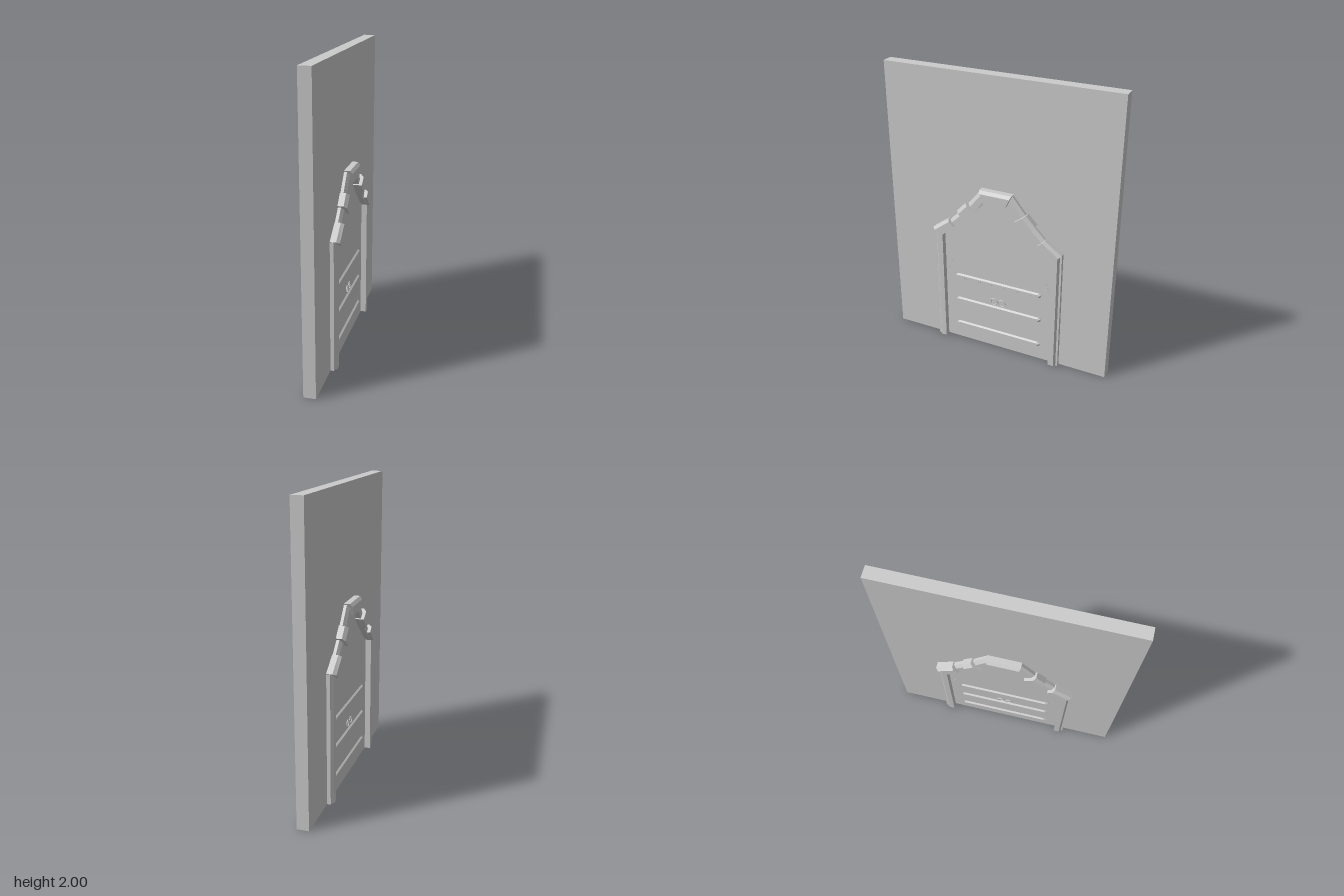
import * as THREE from 'three';

const material = new THREE.MeshStandardMaterial({ color: 0xcccccc, flatShading: true });

export function createModel() {
  const root = new THREE.Group();
  const add = (name, geometry) => {
    const mesh = new THREE.Mesh(geometry, material);
    mesh.name = name;
    root.add(mesh);
    return mesh;
  };

  // Loft convex [z, y] outlines placed at successive x positions, with end caps.
  const loft = (sections) => {
    const area = sections[0].pts.reduce((s, p, i, a) => {
      const q = a[(i + 1) % a.length];
      return s + p[0] * q[1] - q[0] * p[1];
    }, 0);
    const loops = sections.map(({ x, pts }) => {
      const loop = pts.map(([z, y]) => [x, y, z]);
      return area > 0 ? loop.reverse() : loop;
    });
    const pos = [];
    const tri = (a, b, c) => pos.push(...a, ...b, ...c);
    const n = loops[0].length;
    for (let k = 0; k < loops.length - 1; k++) {
      for (let i = 0; i < n; i++) {
        const j = (i + 1) % n, A = loops[k], B = loops[k + 1];
        tri(A[i], A[j], B[j]);
        tri(A[i], B[j], B[i]);
      }
    }
    const first = loops[0], last = loops[loops.length - 1];
    for (let i = 1; i < n - 1; i++) {
      tri(first[0], first[i + 1], first[i]);
      tri(last[0], last[i], last[i + 1]);
    }
    const g = new THREE.BufferGeometry();
    g.setAttribute('position', new THREE.Float32BufferAttribute(pos, 3));
    g.computeVertexNormals();
    return g;
  };

  // Stone [outer0, outer1, inner1, inner0] whose outer edge is chamfered on both faces.
  const stone = (pts, base, top, chamfer) => {
    const mix = (a, b) => [a[0] + (b[0] - a[0]) * chamfer, a[1] + (b[1] - a[1]) * chamfer];
    const [o0, o1, i1, i0] = pts;
    const small = [mix(o0, i0), mix(o1, i1), i1, i0];
    return loft([
      { x: -top, pts: small }, { x: -base, pts },
      { x: base, pts }, { x: top, pts: small },
    ]);
  };

  // Wall slab
  const wall = add('wall', new THREE.BoxGeometry(0.08, 2, 1.6));
  wall.position.y = 1;

  // Arch outlines, from springing to crown
  const outer = [[0.46, 0.885], [0.35, 0.965], [0.27, 1.045], [0.205, 1.12], [0.112, 1.235]];
  const inner = [[0.40, 0.85], [0.30, 0.922], [0.215, 1.0], [0.145, 1.08], [0.08, 1.165]];
  const lowerBlock = [[0.468, 0.892], [0.35, 0.978], [0.302, 0.935], [0.40, 0.848]];
  const upperBlock = [[0.28, 1.06], [0.217, 1.128], [0.14, 1.073], [0.212, 0.994]];

  for (const s of [1, -1]) {
    const side = s > 0 ? 'front' : 'back';
    const flip = (pts) => pts.map(([z, y]) => [z * s, y]);

    // Stepped jamb passing through the wall, with a sloping top
    const section = new THREE.Shape([
      [0.40, 0.08], [0.44, 0.08], [0.452, 0.065], [0.466, 0.065],
      [0.466, -0.065], [0.452, -0.065], [0.44, -0.08], [0.40, -0.08],
    ].map(([z, x]) => new THREE.Vector2(x, -z * s)));
    const jamb = new THREE.ExtrudeGeometry(section, { depth: 1, bevelEnabled: false });
    jamb.rotateX(-Math.PI / 2);
    const p = jamb.attributes.position;
    for (let i = 0; i < p.count; i++) {
      if (p.getY(i) > 0.5) p.setY(i, 0.852 + (Math.abs(p.getZ(i)) - 0.40) * 0.55);
    }
    jamb.computeVertexNormals();
    add(side + 'Jamb', jamb);

    // Arch moulding and raised blocks
    for (let i = 0; i < outer.length - 1; i++) {
      const quad = [outer[i], outer[i + 1], inner[i + 1], inner[i]];
      add(side + 'ArchSegment', stone(flip(quad), 0.06, 0.077, 0.35));
    }
    add(side + 'LowerBlock', stone(flip(lowerBlock), 0.08, 0.1, 0.25));
    add(side + 'UpperBlock', stone(flip(upperBlock), 0.08, 0.1, 0.25));
  }

  // Keystone
  add('keystone', stone([[0.114, 1.243], [-0.114, 1.243], [-0.08, 1.163], [0.08, 1.163]], 0.08, 0.097, 0.25));

  // Door rails with tapered ends, showing on both faces
  const rail = (h, y, len) => [
    [-len, y - h * 0.4], [-len + 0.015, y - h], [len - 0.015, y - h], [len, y - h * 0.4],
    [len, y + h * 0.4], [len - 0.015, y + h], [-len + 0.015, y + h], [-len, y + h * 0.4],
  ];
  for (const y of [0.12, 0.325, 0.523]) {
    add('doorRail', loft([
      { x: -0.052, pts: rail(0.009, y, 0.31) }, { x: -0.04, pts: rail(0.018, y, 0.322) },
      { x: 0.04, pts: rail(0.018, y, 0.322) }, { x: 0.052, pts: rail(0.009, y, 0.31) },
    ]));
  }

  for (const x of [-1, 1]) {
    for (const s of [-1, 1]) {
      // Ring handles
      const ring = add('ringHandle', new THREE.TorusGeometry(0.024, 0.004, 6, 16));
      ring.rotation.y = Math.PI / 2;
      ring.position.set(x * 0.043, 0.38, s * 0.03);

      // Slim edge of the door leaf just breaking the wall surface
      add('doorEdge', loft([-0.001, 0.001].map((d) => ({
        x: x * 0.0405 + d,
        pts: [[0.346, 0.645], [0.392, 0.55], [0.386, 0.552]].map(([z, y]) => [z * s, y]),
      }))));
    }
  }

  return root;
}
